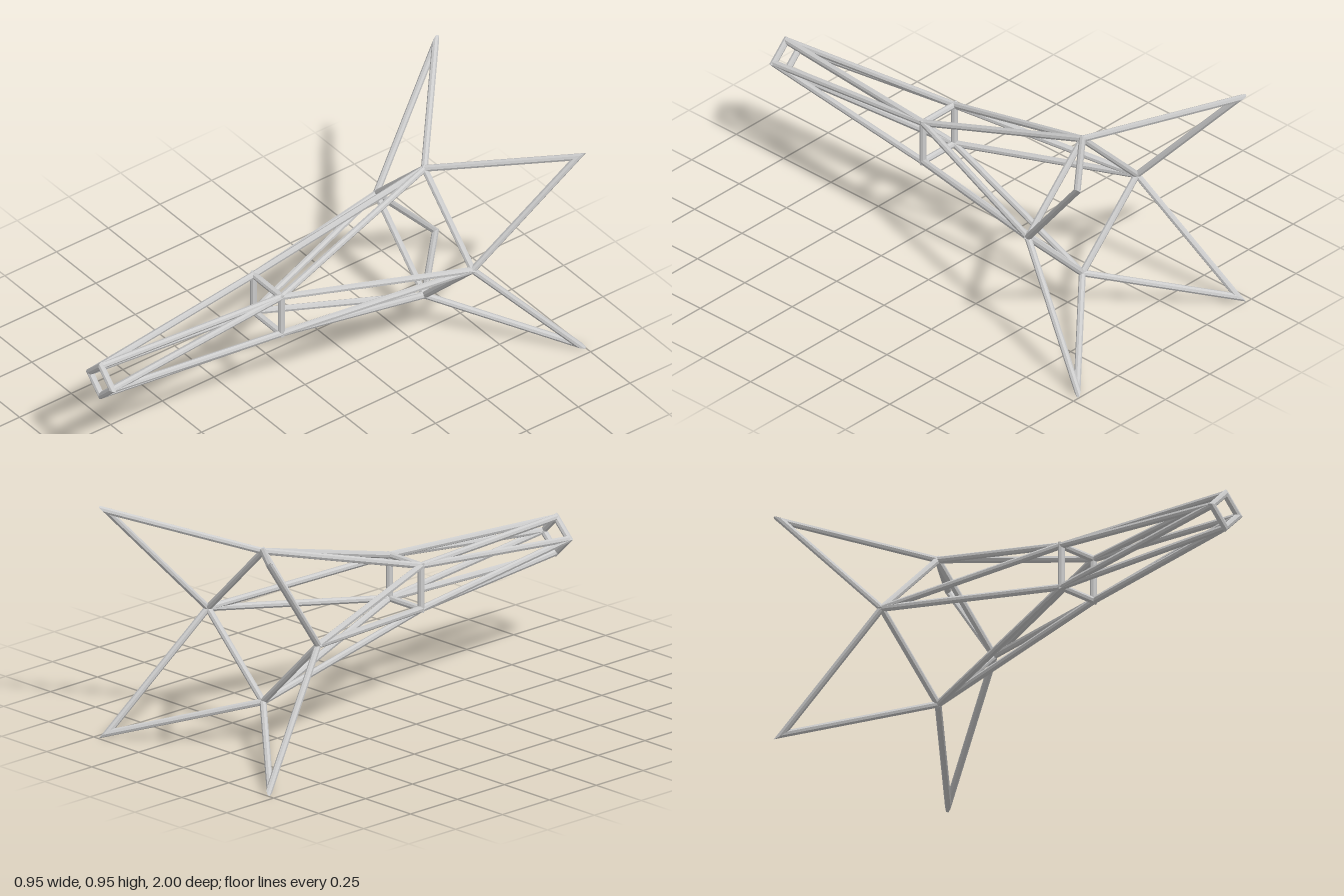
import * as THREE from 'three';

const RADIUS = 0.0135;
const SIDES = 8;
const CENTER_Y = 0.473;

// Four points around the z axis, starting at the given angle
function ring(radius, z, startAngle) {
  return [0, 1, 2, 3].map((i) => {
    const a = startAngle + (i * Math.PI) / 2;
    return new THREE.Vector3(radius * Math.cos(a), CENTER_Y + radius * Math.sin(a), z);
  });
}

// Round bar from a to b; each end may be cut by a mitre plane through its node
function barGeometry(a, b, normalA, normalB) {
  const dir = b.clone().sub(a);
  const geo = new THREE.CylinderGeometry(RADIUS, RADIUS, dir.length(), SIDES);
  dir.normalize();
  const q = new THREE.Quaternion().setFromUnitVectors(new THREE.Vector3(0, 1, 0), dir);
  const mid = a.clone().add(b).multiplyScalar(0.5);
  const pos = geo.attributes.position;
  const p = new THREE.Vector3();
  for (let i = 0; i < pos.count; i++) {
    p.fromBufferAttribute(pos, i);
    const atEnd = p.y > 0;
    p.applyQuaternion(q).add(mid);
    const n = (atEnd ? normalB : normalA) || dir;
    const node = atEnd ? b : a;
    p.addScaledVector(dir, node.clone().sub(p).dot(n) / dir.dot(n));
    pos.setXYZ(i, p.x, p.y, p.z);
  }
  geo.computeVertexNormals();
  return geo;
}

export function createModel() {
  const grey = new THREE.MeshStandardMaterial({ color: 0xcccccc, flatShading: true });
  grey.name = 'light grey';
  const model = new THREE.Group();
  model.name = 'wireFrame';

  function addGroup(name) {
    const group = new THREE.Group();
    group.name = name;
    model.add(group);
    return group;
  }
  function addBar(group, name, a, b, normalA, normalB) {
    const mesh = new THREE.Mesh(barGeometry(a, b, normalA, normalB), grey);
    mesh.name = name;
    group.add(mesh);
  }

  // Closed loop of bars with mitred corners
  function frameLoop(name, points) {
    const group = addGroup(name);
    const n = points.length;
    const dirs = points.map((p, i) => points[(i + 1) % n].clone().sub(p).normalize());
    const normals = dirs.map((d, i) => d.clone().add(dirs[(i + n - 1) % n]).normalize());
    points.forEach((p, i) => {
      const j = (i + 1) % n;
      addBar(group, name + 'Bar', p, points[j], normals[i], normals[j]);
    });
  }

  // Each diamond corner joins the two nearest square corners
  function strutSet(name, diamond, square) {
    const group = addGroup(name);
    diamond.forEach((p, i) => {
      addBar(group, name + 'Bar', p, square[i], null, null);
      addBar(group, name + 'Bar', p, square[(i + 3) % 4], null, null);
    });
  }

  const noseDiamond = ring(0.071, 0.986, 0);
  const waistSquare = ring(0.088 * Math.SQRT2, 0.182, Math.PI / 4);
  const tailDiamond = ring(0.306, -0.577, 0);
  const finTips = ring(0.452 * Math.SQRT2, -0.974, Math.PI / 4);

  frameLoop('noseFrame', noseDiamond);
  frameLoop('waistFrame', waistSquare);
  frameLoop('tailFrame', tailDiamond);

  // Four pointed fins form one star-shaped outline
  frameLoop('finOutline', tailDiamond.flatMap((p, i) => [p, finTips[i]]));

  strutSet('noseStrut', noseDiamond, waistSquare);
  strutSet('bodyStrut', tailDiamond, waistSquare);

  return model;
}
